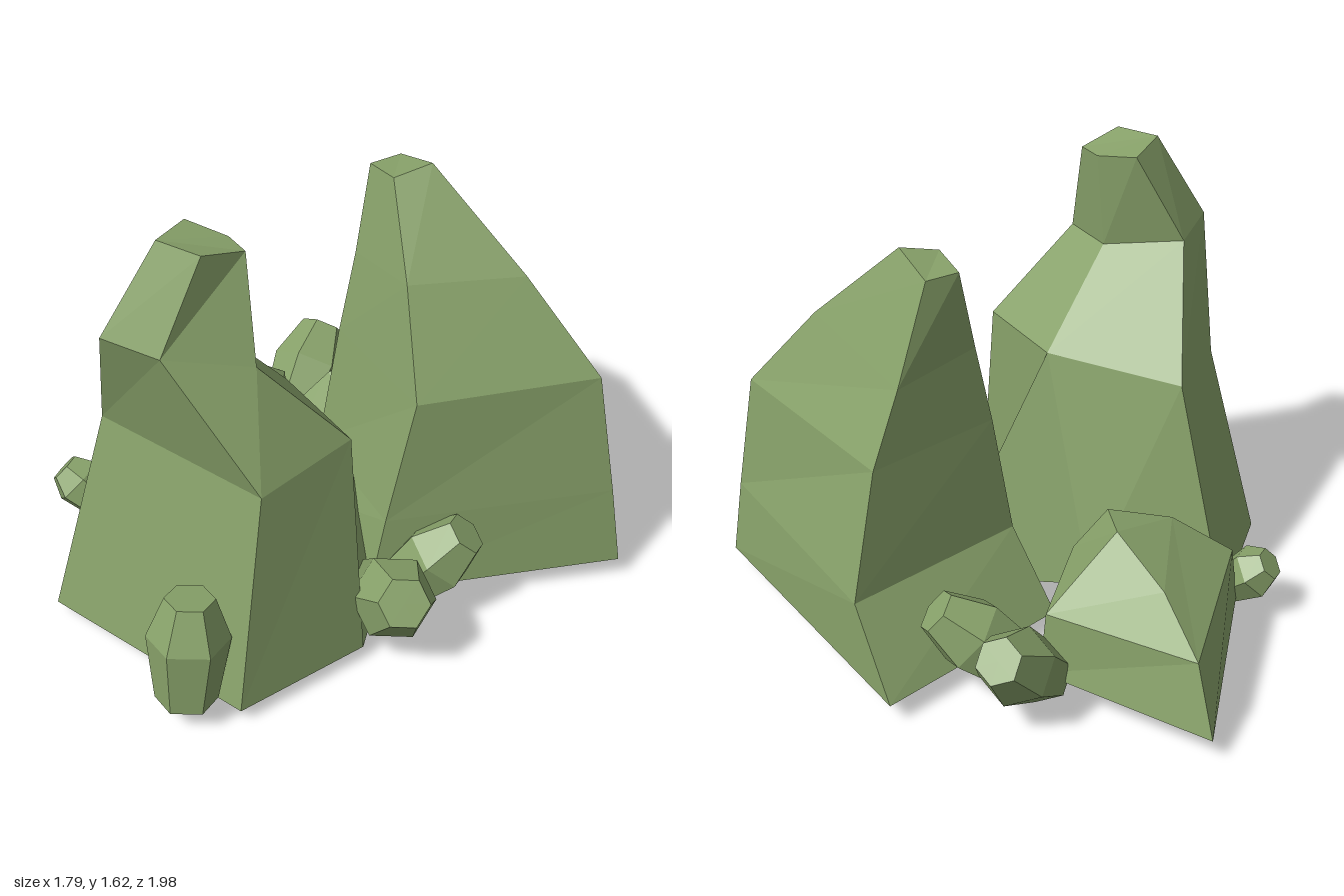
import * as THREE from 'three';

const material = new THREE.MeshStandardMaterial({ color: 0x88a26a, flatShading: true });

// Skin a closed boulder through rings of [x, y, z] corners, listed bottom to top
// and running left, front, right, back.
function boulder(name, rings) {
  const pos = [];
  const tri = (a, b, c) => {
    const [A, B, C] = [a, b, c].map((p) => new THREE.Vector3(...p));
    if (new THREE.Triangle(A, B, C).getArea() > 1e-6) pos.push(...a, ...b, ...c);
  };
  const n = rings[0].length;
  for (let r = 0; r < rings.length - 1; r++) {
    for (let i = 0; i < n; i++) {
      const j = (i + 1) % n;
      tri(rings[r][i], rings[r][j], rings[r + 1][j]);
      tri(rings[r][i], rings[r + 1][j], rings[r + 1][i]);
    }
  }
  const bottom = rings[0], top = rings[rings.length - 1];
  for (let i = 1; i < n - 1; i++) {
    tri(bottom[0], bottom[i + 1], bottom[i]);
    tri(top[0], top[i], top[i + 1]);
  }
  const geo = new THREE.BufferGeometry();
  geo.setAttribute('position', new THREE.Float32BufferAttribute(pos, 3));
  geo.computeVertexNormals();
  const mesh = new THREE.Mesh(geo, material);
  mesh.name = name;
  return mesh;
}

// Six-sided shard with a bevelled outer end, running from one point to another.
function shard(name, from, to, r) {
  const a = new THREE.Vector3(...from), axis = new THREE.Vector3(...to).sub(a);
  const h = axis.length();
  const profile = [[0, 0], [0.75 * r, 0], [r, 0.62 * h], [0.6 * r, h], [0, h]]
    .map(([x, y]) => new THREE.Vector2(x, y));
  const mesh = new THREE.Mesh(new THREE.LatheGeometry(profile, 6), material);
  mesh.name = name;
  mesh.position.copy(a);
  mesh.quaternion.setFromUnitVectors(new THREE.Vector3(0, 1, 0), axis.normalize());
  return mesh;
}

export function createModel() {
  const group = new THREE.Group();
  group.name = 'rockCluster';

  // Tall bent rock with an overhanging head and a sloping inner flank
  group.add(boulder('bentRock', [
    [[-0.9, 0.075, 0.03], [-0.63, 0.075, 0.82], [-0.12, 0.075, 0.78],
      [0.31, 0.075, 0.36], [-0.14, 0.075, 0.02], [-0.49, 0.075, -0.34]],
    [[-0.72, 0.86, 0.1], [-0.5, 0.86, 0.74], [-0.14, 0.92, 0.7],
      [-0.14, 0.92, 0.31], [-0.14, 0.92, 0.31], [-0.44, 0.89, -0.11]],
    [[-0.81, 1.32, 0.3], [-0.71, 1.32, 0.5], [-0.43, 1.25, 0.6],
      [-0.43, 1.25, 0.39], [-0.43, 1.25, 0.39], [-0.63, 1.3, 0.17]],
    [[-0.63, 1.64, 0.35], [-0.56, 1.64, 0.5], [-0.4, 1.6, 0.49],
      [-0.4, 1.6, 0.39], [-0.4, 1.6, 0.39], [-0.48, 1.62, 0.26]],
  ]));

  // Broad four-sided peak
  group.add(boulder('peakRock', [
    [[0.03, 0.1, 0.59], [0.89, 0.1, 0.91], [0.84, 0.1, -0.26], [0.08, 0.1, -0.09]],
    [[0.09, 0.4, 0.59], [0.86, 0.4, 0.87], [0.85, 0.4, -0.05], [0.15, 0.4, 0.08]],
    [[0.19, 0.86, 0.6], [0.81, 0.86, 0.8], [0.73, 0.86, 0.0], [0.22, 0.86, 0.09]],
    [[0.26, 1.21, 0.42], [0.65, 1.19, 0.56], [0.61, 1.12, 0.03], [0.28, 1.16, 0.09]],
    [[0.34, 1.49, 0.21], [0.475, 1.52, 0.24], [0.475, 1.47, 0.06], [0.35, 1.47, 0.06]],
  ]));

  // Low wedge at the back
  group.add(boulder('wedgeRock', [
    [[-0.53, 0.11, -0.37], [-0.06, 0.11, 0.07], [0.32, 0.11, -0.38], [0.03, 0.11, -1]],
    [[-0.47, 0.355, -0.41], [0, 0.355, -0.09], [0.3, 0.355, -0.39], [0.02, 0.355, -0.89]],
    [[-0.28, 0.5, -0.3], [-0.06, 0.565, -0.22], [0, 0.575, -0.37], [-0.02, 0.47, -0.63]],
  ]));

  // Small shards around the foot
  [
    ['outerShard', [-0.76, 0.1, 0.69], [-0.72, 0.49, 0.66], 0.14],
    ['frontShard', [0.06, 0.11, 0.59], [-0.06, 0.35, 0.92], 0.15],
    ['innerShard', [0.13, 0.1, 0.61], [0.31, 0.37, 0.76], 0.13],
    ['backShard', [-0.54, 0.13, -0.31], [-0.63, 0.25, -0.43], 0.1],
    ['backUpperShard', [0.3, 0.1, -0.38], [0.58, 0.37, -0.55], 0.14],
    ['backLowerShard', [0.34, 0.1, -0.33], [0.61, 0.36, -0.18], 0.14],
  ].forEach((args) => group.add(shard(...args)));

  return group;
}
